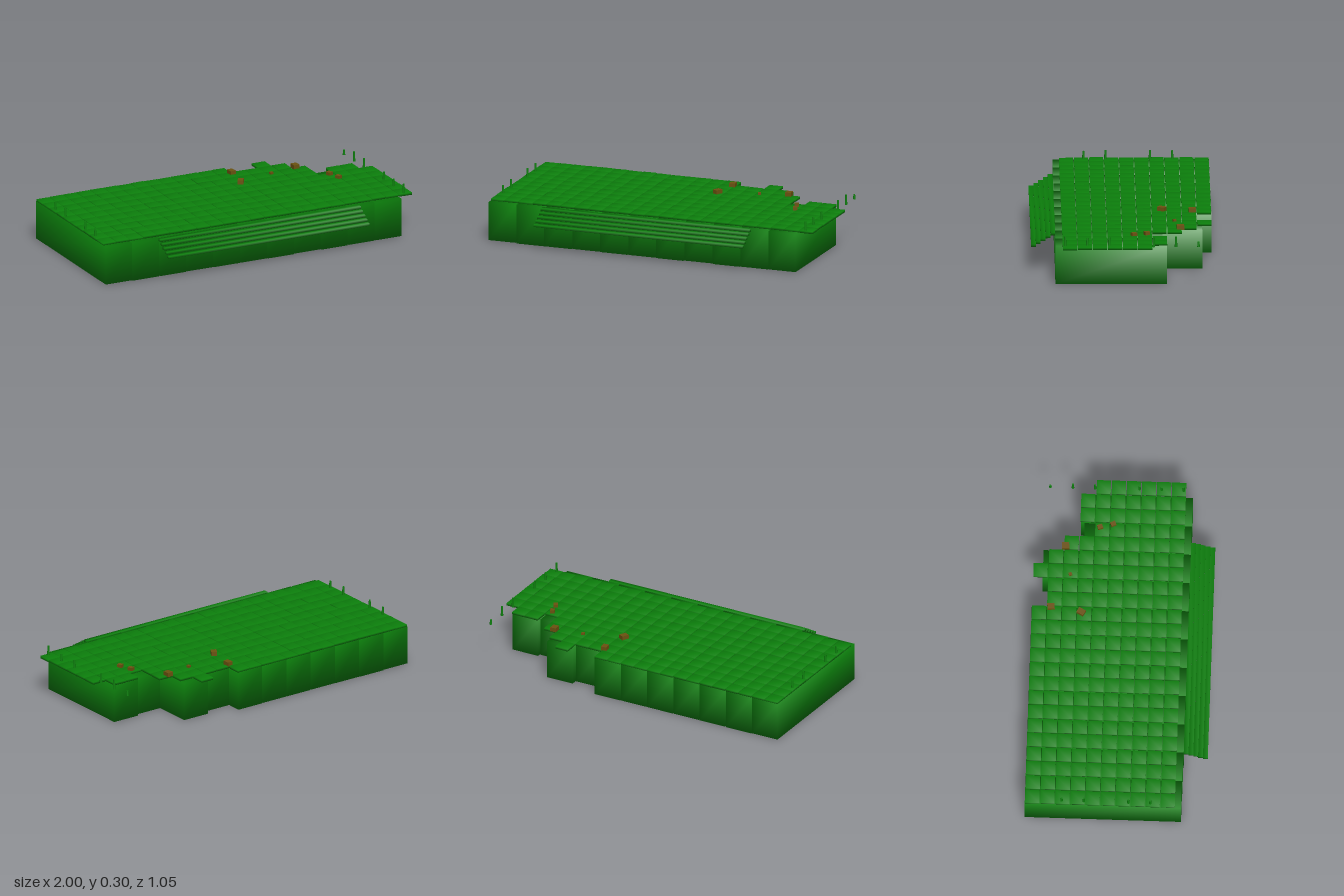
import * as THREE from 'three';
import { mergeVertices } from 'three/addons/utils/BufferGeometryUtils.js';

const green = new THREE.MeshStandardMaterial({ color: 0x0c800c });
const brown = new THREE.MeshStandardMaterial({ color: 0x6b5210 });
const PITCH = 0.0869; // floor tile spacing
const BACK = -0.523;

// small seeded generator, returns -1..1
let seed = 7;
const jitter = () => {
  seed = (seed * 16807) % 2147483647;
  return (seed / 2147483647) * 2 - 1;
};

// box with shared corners, so its normals are smoothed
function softBox(w, h, d) {
  const g = new THREE.BoxGeometry(w, h, d);
  g.deleteAttribute('normal');
  g.deleteAttribute('uv');
  const merged = mergeVertices(g);
  merged.computeVertexNormals();
  return merged;
}

// box given by its limits on each axis
function boxBetween(name, x0, x1, y0, y1, z0, z1) {
  const mesh = new THREE.Mesh(softBox(x1 - x0, y1 - y0, z1 - z0), green);
  mesh.position.set((x0 + x1) / 2, (y0 + y1) / 2, (z0 + z1) / 2);
  mesh.name = name;
  return mesh;
}

export function createModel() {
  seed = 7;
  const model = new THREE.Group();
  model.name = 'ruinedPlatform';
  const part = (name) => {
    const g = new THREE.Group();
    g.name = name;
    model.add(g);
    return g;
  };

  // foundation: eleven long blocks, broken off at the back right
  const foundation = part('foundation');
  const blockBacks = [BACK, BACK, BACK, BACK, BACK, BACK, BACK, -0.435, -0.466, -0.235, -0.257];
  blockBacks.forEach((back, i) => {
    const x = -1 + i * PITCH * 2;
    const front = 0.383 + jitter() * 0.003;
    foundation.add(boxBetween('foundationBlock', x + 0.001, x + PITCH * 2 - 0.004,
      0.002 + jitter() * 0.002, 0.231, back, front));
  });

  // floor: square tiles, rows counted from the front
  const floor = part('floorTiles');
  const rowsAt = (col) => {
    if (col < 14 || col === 16) return 10;
    if (col < 18) return 9;
    if (col === 18) return 8;
    if (col === 20 || col === 21) return 7;
    return 6;
  };
  const tile = softBox(PITCH - 0.005, 0.014, PITCH - 0.005);
  for (let col = 0; col < 23; col++) {
    for (let row = 0; row < rowsAt(col); row++) {
      const t = new THREE.Mesh(tile, green);
      t.name = 'floorTile';
      t.position.set(-1 + (col + 0.5) * PITCH, 0.237 + jitter() * 0.0015, 0.346 - (row + 0.5) * PITCH);
      t.rotation.set(jitter() * 0.012, 0, jitter() * 0.012);
      floor.add(t);
    }
  }

  // stairs: five thin treads going down to the front
  const stairs = part('stairs');
  for (let i = 0; i < 5; i++) {
    const z = 0.384 + i * 0.0278;
    const top = 0.236 - i * 0.0172;
    stairs.add(boxBetween('stairTread', -0.662, 0.632, top - 0.0155, top, z, z + 0.0278));
  }

  // posts along both short sides: x, z, base, top
  const posts = part('posts');
  const postList = [
    [0.948, 0.33, 0.24, 0.298], [0.948, 0.202, 0.24, 0.29], [0.948, 0.075, 0.24, 0.293],
    [0.948, -0.182, 0.235, 0.293], [0.948, -0.31, 0.235, 0.295], [0.948, -0.44, 0.235, 0.265],
    [-0.978, 0.202, 0.24, 0.288], [-0.978, 0.075, 0.24, 0.293],
    [-0.978, -0.182, 0.24, 0.292], [-0.978, -0.31, 0.24, 0.29],
  ];
  for (const [x, z, y0, y1] of postList) {
    const post = new THREE.Mesh(new THREE.CylinderGeometry(0.0055, 0.008, y1 - y0, 8), green);
    post.name = 'post';
    post.position.set(x, (y0 + y1) / 2, z);
    posts.add(post);
  }

  // rubble: x, z, width, depth, top, turn
  const rubble = part('rubble');
  const stones = [
    [0.207, -0.412, 0.034, 0.042, 0.267, 0.1], [0.18, -0.237, 0.034, 0.044, 0.268, -0.5],
    [0.412, -0.307, 0.018, 0.018, 0.255, 0.3], [0.582, -0.34, 0.036, 0.042, 0.267, 0.05],
    [0.706, -0.145, 0.026, 0.03, 0.262, 0.35], [0.727, -0.07, 0.026, 0.03, 0.261, 0.45],
  ];
  for (const [x, z, w, d, top, turn] of stones) {
    const h = top - 0.242;
    const stone = new THREE.Mesh(new THREE.BoxGeometry(w, h, d), brown);
    stone.name = 'rubbleStone';
    stone.position.set(x, top - h / 2, z);
    stone.rotation.y = turn;
    rubble.add(stone);
  }

  return model;
}
